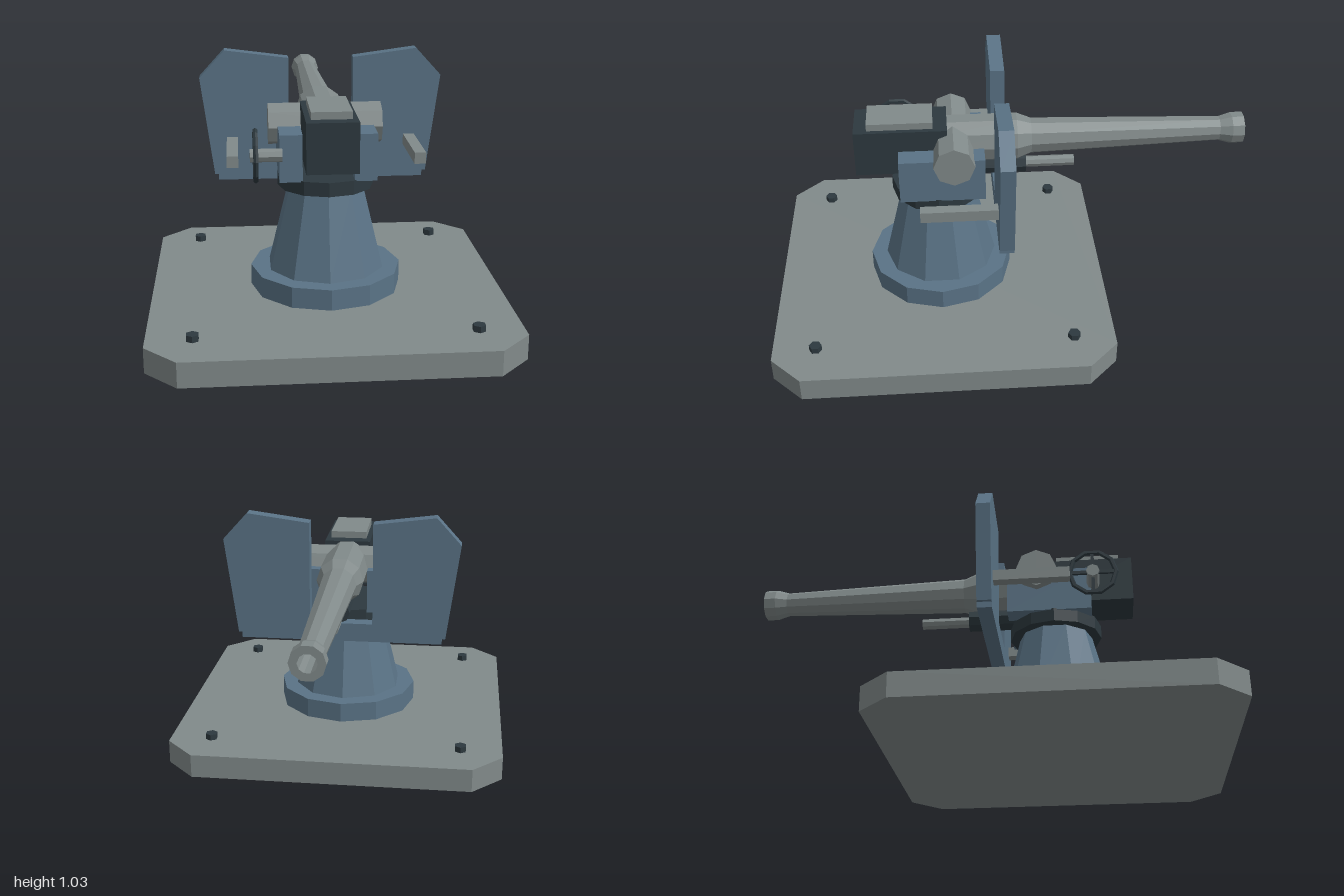
import * as THREE from 'three';

const mat = (name, color) => {
  const m = new THREE.MeshStandardMaterial({ color, flatShading: true });
  m.name = name;
  return m;
};

export function createModel() {
  const root = new THREE.Group();
  root.name = 'deckGun';
  const steel = mat('steelGrey', 0x818a8a);
  const blue = mat('paintedBlue', 0x5a7386);
  const dark = mat('darkMetal', 0x2d393f);

  const add = (name, geo, material, x = 0, y = 0, z = 0, parent = root) => {
    const m = new THREE.Mesh(geo, material);
    m.name = name;
    m.position.set(x, y, z);
    parent.add(m);
    return m;
  };
  // box given by its low and high corners
  const box = (name, material, [x0, y0, z0], [x1, y1, z1]) =>
    add(name, new THREE.BoxGeometry(x1 - x0, y1 - y0, z1 - z0), material,
      (x0 + x1) / 2, (y0 + y1) / 2, (z0 + z1) / 2);
  // upright cylinder between two heights
  const drum = (name, material, rTop, rBottom, y0, y1, sides, x, z) =>
    add(name, new THREE.CylinderGeometry(rTop, rBottom, y1 - y0, sides), material, x, (y0 + y1) / 2, z);
  const shapeOf = (pts) => new THREE.Shape(pts.map(([x, y]) => new THREE.Vector2(x, y)));
  const extrude = (pts, depth) =>
    new THREE.ExtrudeGeometry(shapeOf(pts), { depth, bevelEnabled: false });

  // base plate with cut corners, and its bolts
  const X = 0.708, Z = 0.708, C = 0.125;
  const plate = extrude([
    [X, -Z + C], [X, Z - C], [X - C, Z], [-X + C, Z],
    [-X, Z - C], [-X, -Z + C], [-X + C, -Z], [X - C, -Z],
  ], 0.1).rotateX(-Math.PI / 2);
  add('basePlate', plate, steel, 0, 0, 0.292);
  for (const x of [-0.532, 0.532])
    for (const z of [-0.243, 0.823]) drum('bolt', dark, 0.026, 0.026, 0.1, 0.125, 6, x, z);

  // pedestal
  const pz = 0.295;
  drum('pedestalFlange', blue, 0.307, 0.307, 0.1, 0.185, 12, 0, pz);
  drum('pedestal', blue, 0.155, 0.24, 0.185, 0.53, 10, 0, pz);
  drum('turntable', dark, 0.195, 0.195, 0.528, 0.585, 12, 0, pz);

  // cradle cheeks and shield brackets
  for (const s of [-1, 1]) {
    const cheek = box('cradleCheek', blue, [0.102, 0.58, 0.1], [0.192, 0.77, 0.453]);
    cheek.position.x *= s;
    const bracket = box('shieldBracket', steel, [0.351, 0.621, 0.06], [0.397, 0.667, 0.37]);
    bracket.position.x *= s;
  }

  // shield: two wings joined by a low bar
  const half = [
    [0.435, 0.48], [0.435, 0.505], [0.45, 0.505], [0.505, 0.92],
    [0.4, 1.035], [0.135, 1.0], [0.135, 0.56],
  ];
  const outline = [...half, ...half.map(([x, y]) => [-x, y]).reverse()];
  add('shield', extrude(outline, 0.06), blue);

  // trunnion across the cradle
  add('trunnion', new THREE.CylinderGeometry(0.085, 0.085, 0.458, 8).rotateZ(Math.PI / 2), steel, 0, 0.763, 0.227);

  // barrel with a hollow muzzle
  const profile = [
    [0, -0.3], [0.1, -0.3], [0.1, 0.04], [0.076, 0.1], [0.052, 0.9], [0.067, 0.95],
    [0.067, 1], [0.036, 1], [0.036, 0.75], [0, 0.75],
  ].map(([r, l]) => new THREE.Vector2(r, l));
  const barrel = new THREE.LatheGeometry(profile, 10, Math.PI / 2).rotateX(-Math.PI / 2);
  add('barrel', barrel, steel, 0, 0.763, 0);

  // breech block and its cover
  box('breech', dark, [-0.1, 0.662, 0.25], [0.1, 0.86, 0.632]);
  box('breechCover', steel, [-0.079, 0.86, 0.308], [0.079, 0.889, 0.578]);

  // recoil cylinder and rod under the barrel
  const along = (r, len, sides) => new THREE.CylinderGeometry(r, r, len, sides).rotateX(Math.PI / 2);
  add('recoilCylinder', along(0.046, 0.4, 8), dark, 0, 0.635, 0.12);
  add('recoilRod', along(0.024, 0.24, 8), steel, 0, 0.632, -0.167);

  // elevating handwheel on the right side
  const wheel = new THREE.Group();
  wheel.name = 'handwheel';
  wheel.position.set(-0.285, 0.695, 0.463);
  root.add(wheel);
  add('wheelRim', new THREE.TorusGeometry(0.096, 0.011, 6, 10).rotateY(Math.PI / 2), dark, 0, 0, 0, wheel);
  for (const a of [0, Math.PI / 2])
    add('wheelSpokes', new THREE.BoxGeometry(0.012, 0.19, 0.014).rotateX(a), dark, 0, 0, 0, wheel);
  add('wheelAxle', new THREE.CylinderGeometry(0.027, 0.027, 0.125, 8).rotateZ(Math.PI / 2), steel, 0.041, 0, 0, wheel);

  return root;
}
